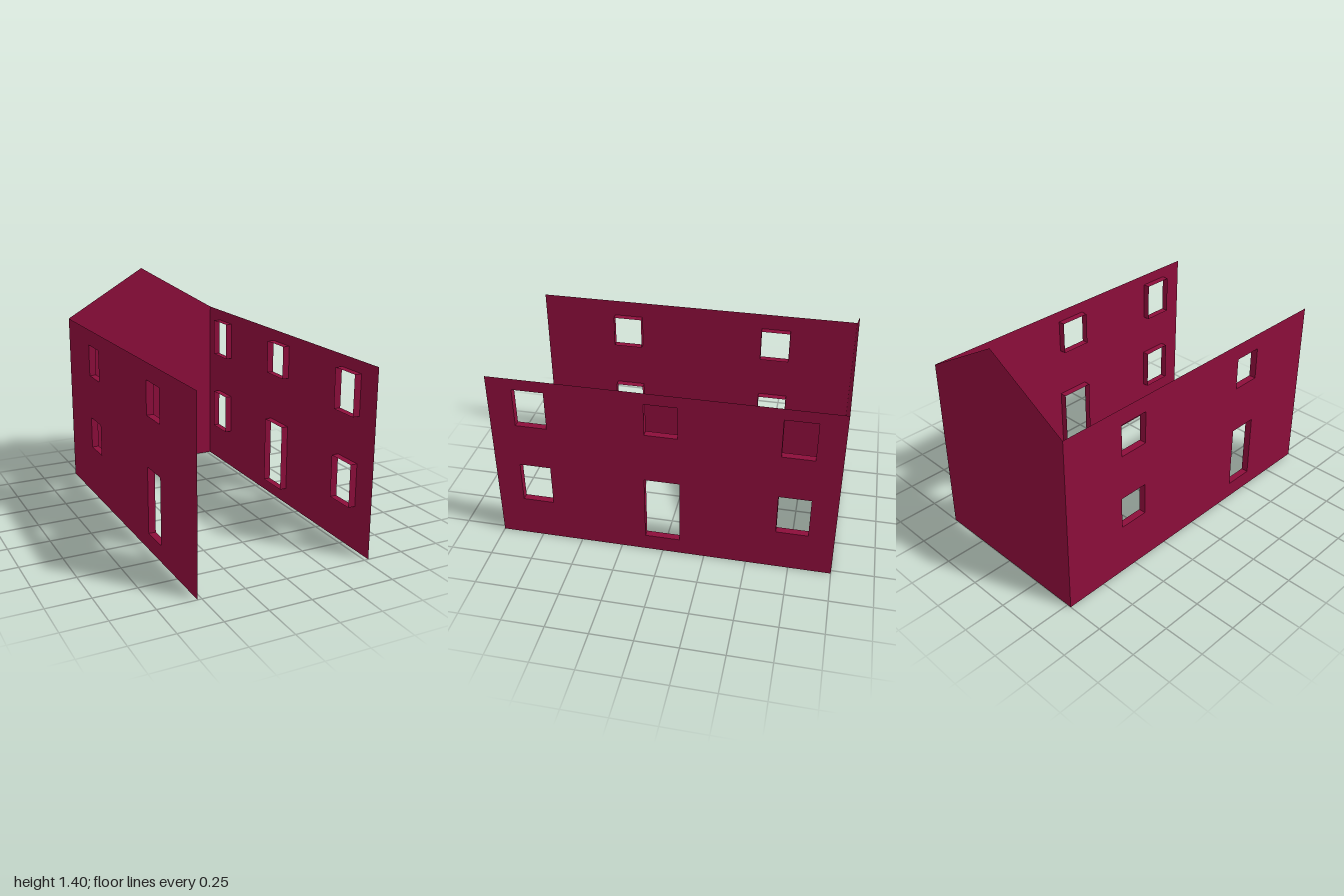
import * as THREE from 'three';

const HALF_W = 0.525, HALF_L = 1, EAVE = 1.1, PEAK = 1.405, REVEAL = 0.043;

// Openings as [zMin, zMax, yMin, yMax]
const leftOpenings = {
  windowUpperFront: [0.665, 0.85, 0.79, 1.03],
  windowUpperMiddle: [-0.093, 0.098, 0.827, 1.03],
  windowUpperBack: [-0.85, -0.665, 0.79, 1.03],
  windowLowerFront: [0.665, 0.85, 0.26, 0.515],
  door: [-0.104, 0.104, 0.1, 0.515],
  windowLowerBack: [-0.85, -0.665, 0.26, 0.515],
};
const rightOpenings = {
  windowUpperFront: [0.355, 0.535, 0.8, 1.0],
  windowUpperBack: [-0.6, -0.42, 0.8, 1.0],
  door: [0.355, 0.535, 0.1, 0.5],
  windowLowerBack: [-0.6, -0.42, 0.32, 0.52],
};

function polygon(points, Type = THREE.Shape) {
  return new Type(points.map(([x, y]) => new THREE.Vector2(x, y)));
}

// Open square tube running along x, lining one opening
function revealGeometry([z0, z1, y0, y1], side) {
  const tube = new THREE.CylinderGeometry(Math.SQRT1_2, Math.SQRT1_2, 1, 4, 1, true, Math.PI / 4);
  const geo = tube.toNonIndexed();
  geo.rotateZ(Math.PI / 2);
  geo.scale(REVEAL, y1 - y0, z1 - z0);
  geo.translate(side * (HALF_W - REVEAL / 2), (y0 + y1) / 2, (z0 + z1) / 2);
  geo.computeVertexNormals();
  return geo;
}

export function createModel() {
  const model = new THREE.Group();
  model.name = 'houseShell';
  const crimson = new THREE.MeshStandardMaterial({ color: 0x8c0d3a, side: THREE.DoubleSide });
  crimson.name = 'crimson';

  const add = (parent, name, geometry) => {
    const mesh = new THREE.Mesh(geometry, crimson);
    mesh.name = name;
    parent.add(mesh);
  };

  // Long side wall with cut openings and inward reveals
  const addSide = (name, side, openings) => {
    const group = new THREE.Group();
    group.name = name;
    const wall = polygon([[-HALF_L, 0], [HALF_L, 0], [HALF_L, EAVE], [-HALF_L, EAVE]]);
    for (const [z0, z1, y0, y1] of Object.values(openings)) {
      const u0 = side * -z0, u1 = side * -z1;
      wall.holes.push(polygon([[u0, y0], [u0, y1], [u1, y1], [u1, y0]], THREE.Path));
    }
    const geo = new THREE.ShapeGeometry(wall);
    geo.rotateY(side * Math.PI / 2);
    geo.translate(side * HALF_W, 0, 0);
    add(group, name + 'Panel', geo);
    for (const [key, opening] of Object.entries(openings)) {
      add(group, key + 'Reveal', revealGeometry(opening, side));
    }
    model.add(group);
  };
  addSide('leftWall', 1, leftOpenings);
  addSide('rightWall', -1, rightOpenings);

  // Gabled end wall
  const gable = new THREE.ShapeGeometry(polygon([
    [-HALF_W, 0], [HALF_W, 0], [HALF_W, EAVE], [0, PEAK], [-HALF_W, EAVE],
  ]));
  gable.rotateY(Math.PI);
  gable.translate(0, 0, -HALF_L);
  add(model, 'backGableWall', gable);

  return model;
}
